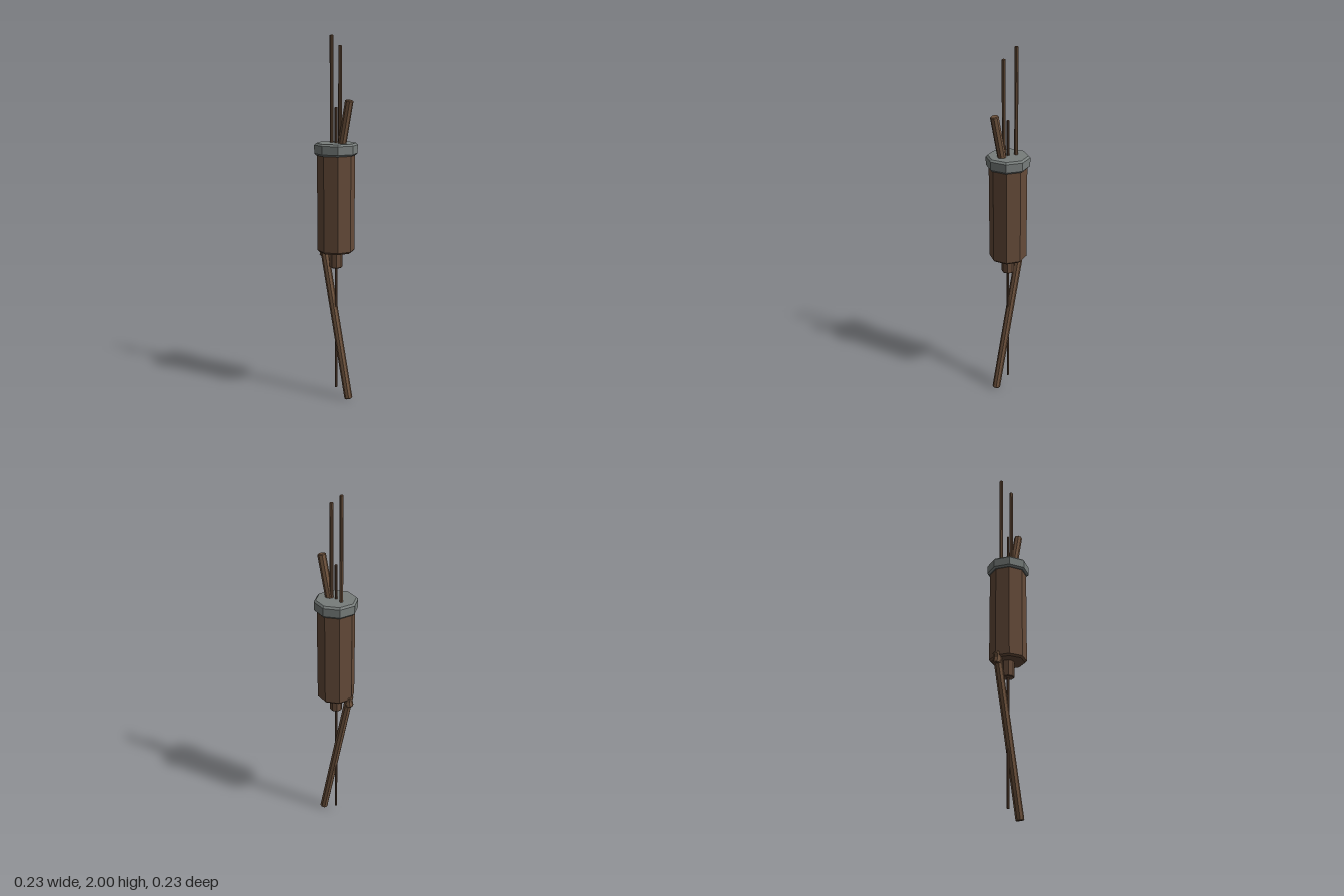
import * as THREE from 'three';

const material = (color) => new THREE.MeshStandardMaterial({ color, flatShading: true });
const wood = material(0x71553f);
const darkWood = material(0x654b39);
const metal = material(0x777d7b);

// Eight-sided solid with bevelled rims, from y = y0 to y = y1
function barrel(name, mat, radius, y0, y1, bevel) {
  const profile = [
    [0, y0], [radius - bevel, y0], [radius, y0 + bevel],
    [radius, y1 - bevel], [radius - bevel, y1], [0, y1],
  ].map(([x, y]) => new THREE.Vector2(x, y));
  const mesh = new THREE.Mesh(new THREE.LatheGeometry(profile, 8), mat);
  mesh.name = name;
  return mesh;
}

// Bevelled rod between two points
function rod(name, mat, radius, from, to) {
  const a = new THREE.Vector3(...from);
  const dir = new THREE.Vector3(...to).sub(a);
  const mesh = barrel(name, mat, radius, 0, dir.length(), radius * 0.2);
  mesh.position.copy(a);
  mesh.quaternion.setFromUnitVectors(new THREE.Vector3(0, 1, 0), dir.normalize());
  return mesh;
}

export function createModel() {
  const group = new THREE.Group();
  group.name = 'cylinderWithRods';
  group.add(
    // Main casing, lid and lower neck
    barrel('body', darkWood, 0.102, 0.84, 1.38, 0.01),
    barrel('cap', metal, 0.117, 1.37, 1.435, 0.01),
    barrel('neck', darkWood, 0.035, 0.75, 0.85, 0.004),
    // Upright rods
    rod('centreRod', darkWood, 0.007, [0, 0.05, 0], [0, 1.625, 0]),
    rod('tallRod', wood, 0.01, [-0.043, 1.4, -0.015], [-0.043, 2, -0.015]),
    rod('shortRod', wood, 0.01, [0.028, 1.4, 0], [0.028, 1.945, 0]),
    // Slanted sticks crossing at the lower edge of the casing
    rod('upperStick', wood, 0.0225, [-0.091, 0.801, 0], [0.091, 1.664, 0]),
    rod('lowerStick', wood, 0.0225, [0.091, 0.005, 0], [-0.091, 0.87, 0]),
  );
  return group;
}
